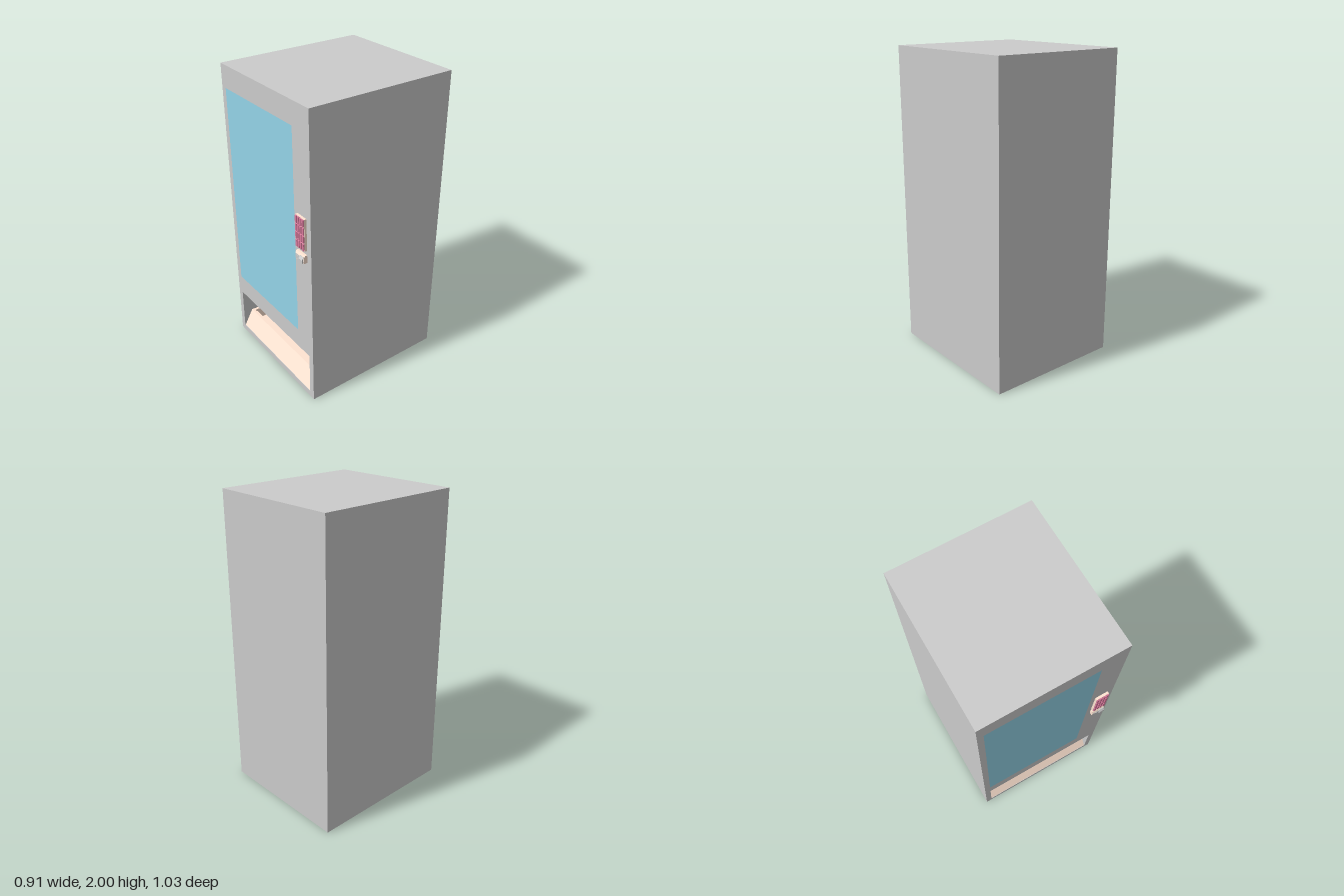
import * as THREE from 'three';

const material = (color = 0xcccccc, side = THREE.FrontSide) =>
  new THREE.MeshStandardMaterial({ color, side, flatShading: true });
const GREY = 0xcccccc, CREAM = 0xffe4d2, BLUE = 0x94d3e8, PINK = 0xd87a9c;
const FRONT = 0.48, BACK = -0.52, HALF = 0.455;

function add(parent, name, geometry, mat) {
  const mesh = new THREE.Mesh(geometry, mat);
  mesh.name = name;
  parent.add(mesh);
  return mesh;
}

// box given by its limits on each axis
function boxBetween(x0, x1, y0, y1, z0, z1) {
  return new THREE.BoxGeometry(x1 - x0, y1 - y0, z1 - z0)
    .translate((x0 + x1) / 2, (y0 + y1) / 2, (z0 + z1) / 2);
}

// drop the +z face of a box (the fifth of its six quads)
function openFront(geometry) {
  const index = Array.from(geometry.index.array);
  index.splice(24, 6);
  geometry.setIndex(index);
  geometry.clearGroups();
  return geometry;
}

// side profile of [z, y] points, extruded from x0 to x1
function profile(points, x0, x1) {
  const shape = new THREE.Shape(points.map(([z, y]) => new THREE.Vector2(z, y)));
  return new THREE.ExtrudeGeometry(shape, { depth: x1 - x0, bevelEnabled: false })
    .rotateY(-Math.PI / 2).translate(x1, 0, 0);
}

function rectangle(PathType, x0, x1, y0, y1) {
  return new PathType([[x0, y0], [x1, y0], [x1, y1], [x0, y1]]
    .map(([x, y]) => new THREE.Vector2(x, y)));
}

// box whose front face is drawn in by a margin
function taperedBox(x0, x1, y0, y1, z0, z1, margin) {
  const g = boxBetween(x0, x1, y0, y1, z0, z1);
  const p = g.attributes.position;
  for (let i = 0; i < p.count; i++) {
    if (p.getZ(i) < (z0 + z1) / 2) continue;
    p.setX(i, p.getX(i) + (p.getX(i) < (x0 + x1) / 2 ? margin : -margin));
    p.setY(i, p.getY(i) + (p.getY(i) < (y0 + y1) / 2 ? margin : -margin));
  }
  g.computeVertexNormals();
  return g;
}

function buildCabinet() {
  const cabinet = new THREE.Group();
  cabinet.name = 'cabinet';
  add(cabinet, 'cabinetShell', openFront(boxBetween(-HALF, HALF, 0, 2, BACK, FRONT)), material());

  // front panel with openings for the window and the delivery bin
  const face = rectangle(THREE.Shape, -HALF, HALF, 0, 2);
  face.holes.push(
    rectangle(THREE.Path, -0.415, 0.295, 0.475, 1.855),
    rectangle(THREE.Path, -0.415, 0.415, 0.04, 0.34));
  add(cabinet, 'frontPanel', new THREE.ShapeGeometry(face).translate(0, 0, FRONT), material());
  add(cabinet, 'window',
    new THREE.PlaneGeometry(0.71, 1.38).translate(-0.06, 1.165, FRONT), material(BLUE));
  return cabinet;
}

function buildDeliveryBin() {
  const bin = new THREE.Group();
  bin.name = 'deliveryBin';
  add(bin, 'binRecess', openFront(boxBetween(-0.415, 0.415, 0.04, 0.34, 0.24, FRONT)),
    material(GREY, THREE.BackSide));

  // trough with a sloping front and a stepped inner lip
  add(bin, 'binTray', profile([
    [0.478, 0.041], [0.415, 0.155], [0.4, 0.155], [0.4, 0.138], [0.385, 0.138],
    [0.385, 0.07], [0.29, 0.07], [0.29, 0.138], [0.275, 0.138], [0.275, 0.155],
    [0.26, 0.155], [0.26, 0.041],
  ], -0.413, 0.413), material(CREAM));
  const end = [[0.475, 0.045], [0.415, 0.154], [0.262, 0.154], [0.262, 0.045]];
  for (const x of [-0.412, 0.392]) {
    add(bin, 'binTrayEnd', profile(end, x, x + 0.02), material(CREAM));
  }

  // flap leaning inward from the top of the opening
  add(bin, 'binFlap', profile([
    [0.479, 0.339], [0.468, 0.339], [0.372, 0.232], [0.38, 0.225],
  ], -0.414, 0.414), material());
  return bin;
}

function buildKeypad() {
  const keypad = new THREE.Group();
  keypad.name = 'keypad';
  const x0 = 0.328, y0 = 1.13, w = 0.087, h = 0.21, n = 4, gap = 0.002;
  add(keypad, 'keypadBase', boxBetween(x0, x0 + w, y0, y0 + h, FRONT, 0.496), material(CREAM));
  for (let col = 0; col < n; col++) {
    for (let row = 0; row < n; row++) {
      const x = x0 + (col * w) / n, y = y0 + (row * h) / n;
      add(keypad, 'keypadButton', taperedBox(x + gap, x + w / n - gap,
        y + gap, y + h / n - gap, 0.496, 0.503, 0.002), material(PINK));
    }
  }
  return keypad;
}

function buildCoinUnit() {
  const unit = new THREE.Group();
  unit.name = 'coinUnit';
  add(unit, 'coinHousing', profile([
    [FRONT, 1.048], [0.503, 1.048], [0.503, 1.085], [0.495, 1.1], [FRONT, 1.1],
  ], 0.328, 0.415), material(CREAM));
  add(unit, 'coinPlate', boxBetween(0.332, 0.411, 1.052, 1.083, 0.502, 0.505), material());
  add(unit, 'coinSlot', boxBetween(0.34, 0.368, 1.073, 1.077, 0.504, 0.507), material());
  // projecting return lever with a sloping top
  add(unit, 'coinLever', profile([
    [0.5, 1.052], [0.515, 1.052], [0.515, 1.074], [0.505, 1.09], [0.5, 1.09],
  ], 0.376, 0.41), material());
  return unit;
}

export function createModel() {
  const model = new THREE.Group();
  model.name = 'vendingMachine';
  model.add(buildCabinet(), buildDeliveryBin(), buildKeypad(), buildCoinUnit());
  return model;
}
